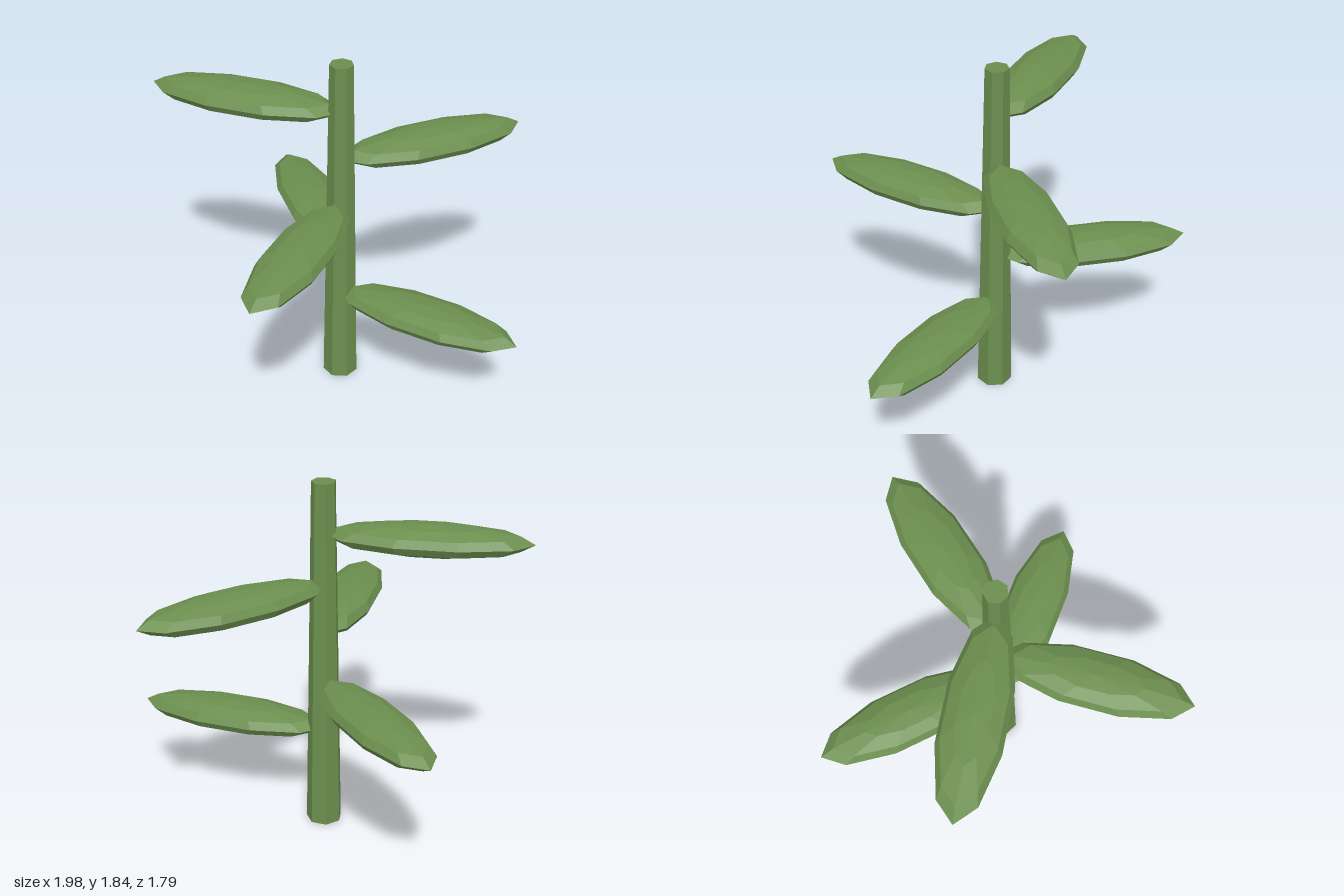
import * as THREE from 'three';

export function createModel() {
  const model = new THREE.Group();
  model.name = 'plant';
  const green = new THREE.MeshStandardMaterial({ color: 0x6b8e4e, flatShading: true });
  green.name = 'leaf green';

  // Tapered seven-sided stem, standing off centre
  const height = 1.835;
  const plant = new THREE.Group();
  plant.name = 'stemAndLeaves';
  plant.position.set(-0.01, 0, -0.105);
  model.add(plant);

  const stem = new THREE.Mesh(new THREE.CylinderGeometry(0.06, 0.092, height, 7), green);
  stem.name = 'stem';
  stem.position.y = height / 2;
  plant.add(stem);

  // Flattened leaves that spiral up the stem by the golden angle
  const leafGeometry = new THREE.SphereGeometry(1, 10, 6);
  leafGeometry.scale(0.5, 0.075, 0.16);
  leafGeometry.translate(0.5, 0, 0); // base at the stem's axis
  for (let i = 0; i < 5; i++) {
    const leaf = new THREE.Mesh(leafGeometry, green);
    leaf.name = `leaf${i + 1}`;
    leaf.position.y = 0.525 + i * 0.2625;
    leaf.rotation.y = THREE.MathUtils.degToRad(137.5 * i);
    plant.add(leaf);
  }
  return model;
}
